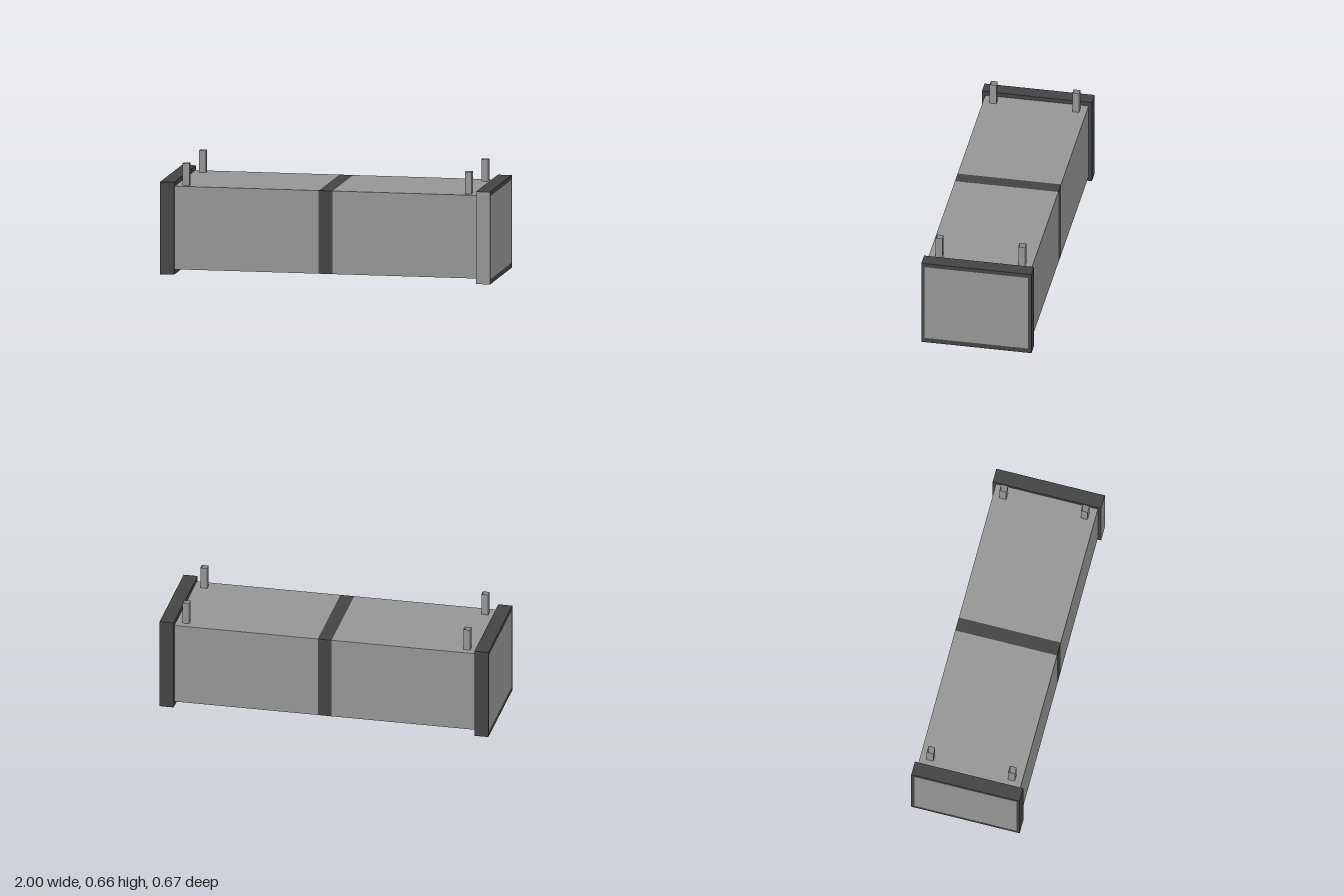
import * as THREE from 'three';

export function createModel() {
  const model = new THREE.Group();
  const grey = new THREE.MeshStandardMaterial({ color: 0x969696, flatShading: true });
  const dark = new THREE.MeshStandardMaterial({ color: 0x444444, flatShading: true });
  const thin = new THREE.MeshStandardMaterial({ color: 0x969696, flatShading: true, side: THREE.DoubleSide });

  // Box given by its lower and upper corners
  function box(name, parent, material, [x0, y0, z0], [x1, y1, z1]) {
    const mesh = new THREE.Mesh(new THREE.BoxGeometry(x1 - x0, y1 - y0, z1 - z0), material);
    mesh.position.set((x0 + x1) / 2, (y0 + y1) / 2, (z0 + z1) / 2);
    mesh.name = name;
    parent.add(mesh);
  }

  const bottom = 0.03, top = 0.53, depth = 0.313; // duct section
  const height = 0.556, rim = 0.333;              // flange section
  const seam = 0.042, inner = 0.915;

  // Middle joint band, flush with the duct
  box('middleBand', model, dark, [-seam, bottom, -depth], [seam, top, depth]);

  for (const side of [1, -1]) {
    const label = side > 0 ? 'left' : 'right';
    const span = (a, b) => (side > 0 ? [a, b] : [-b, -a]);

    // Duct half, running through its end flange
    const [d0, d1] = span(seam, 1);
    box(label + 'Duct', model, grey, [d0, bottom, -depth], [d1, top, depth]);

    // End flange of four bars; the left one has a pale front and underside
    const flange = new THREE.Group();
    flange.name = label + 'Flange';
    model.add(flange);
    const [f0, f1] = span(inner, 1);
    const paint = side > 0 ? [dark, dark, dark, grey, grey, dark] : dark;
    box('bottomBar', flange, paint, [f0, 0, -rim], [f1, bottom, rim]);
    box('topBar', flange, paint, [f0, top, -rim], [f1, height, rim]);
    box('frontBar', flange, paint, [f0, bottom, depth], [f1, top, rim]);
    box('backBar', flange, paint, [f0, bottom, -rim], [f1, top, -depth]);

    // Open square hanger tubes on top
    for (const z of [0.25, -0.25]) {
      const tube = new THREE.CylinderGeometry(Math.SQRT1_2, Math.SQRT1_2, 1, 4, 1, true);
      tube.rotateY(Math.PI / 4).scale(0.041, 0.132, 0.041);
      const hanger = new THREE.Mesh(tube, thin);
      hanger.position.set(side * 0.855, top + 0.066, z);
      hanger.name = label + (z > 0 ? 'Front' : 'Back') + 'Hanger';
      model.add(hanger);
    }
  }
  return model;
}
